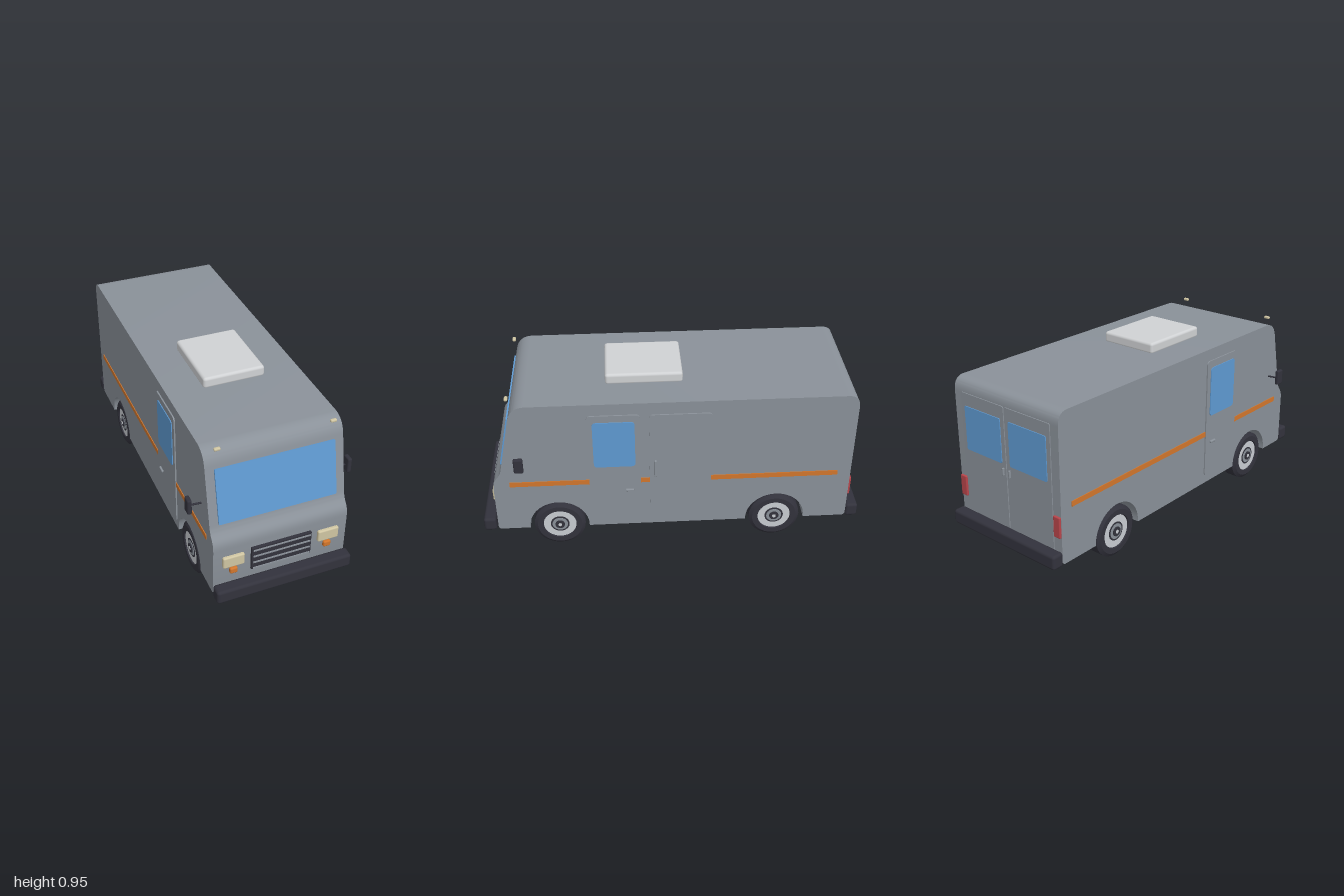
import * as THREE from 'three';
import { toCreasedNormals } from 'three/addons/utils/BufferGeometryUtils.js';
import { RoundedBoxGeometry } from 'three/addons/geometries/RoundedBoxGeometry.js';

const mat = (name, color) => {
  const m = new THREE.MeshStandardMaterial({ color });
  m.name = name;
  return m;
};

export function createModel() {
  const paint = mat('greyPaint', 0x8a9199);
  const dark = mat('darkRubber', 0x32323c);
  const glass = mat('blueGlass', 0x5f9ad2);
  const orange = mat('orange', 0xd2762c);
  const silver = mat('silver', 0xc9cdd2);
  const white = mat('ventWhite', 0xd0d2d4);
  const cream = mat('creamLens', 0xcfc5a2);
  const red = mat('redLens', 0xb8454b);

  const model = new THREE.Group();
  model.name = 'stepVan';

  const add = (name, geo, material, x = 0, y = 0, z = 0, parent = model) => {
    const m = new THREE.Mesh(geo, material);
    m.name = name;
    m.position.set(x, y, z);
    parent.add(m);
    return m;
  };
  const rbox = (w, h, d, r) => new RoundedBoxGeometry(w, h, d, 2, r);

  // Flat panel with rounded corners, back face on z = 0, facing +z
  const panel = (w, h, d, r) => {
    const s = new THREE.Shape(), a = w / 2, b = h / 2;
    s.moveTo(-a + r, -b);
    s.lineTo(a - r, -b).absarc(a - r, -b + r, r, -Math.PI / 2, 0);
    s.lineTo(a, b - r).absarc(a - r, b - r, r, 0, Math.PI / 2);
    s.lineTo(-a + r, b).absarc(-a + r, b - r, r, Math.PI / 2, Math.PI);
    s.lineTo(-a, -b + r).absarc(-a + r, -b + r, r, Math.PI, Math.PI * 1.5);
    return new THREE.ExtrudeGeometry(s, { depth: d, bevelEnabled: false, curveSegments: 5 });
  };

  // Body: side profile with wheel arches, extruded across the width
  const axles = [-0.55, 0.6];
  const p = new THREE.Shape();
  p.moveTo(-0.935, 0.14);
  p.lineTo(-0.923, 0.128);
  for (const z of axles) {
    p.lineTo(z - 0.157, 0.128);
    p.absarc(z, 0.137, 0.157, Math.PI, 0, true);
    p.lineTo(z + 0.157, 0.128);
  }
  p.lineTo(0.905, 0.128);
  p.quadraticCurveTo(0.925, 0.128, 0.925, 0.148);
  p.lineTo(0.925, 0.4);
  p.bezierCurveTo(0.925, 0.47, 0.89, 0.455, 0.876, 0.52);
  p.lineTo(0.814, 0.82);
  p.quadraticCurveTo(0.798, 0.9, 0.72, 0.9);
  p.lineTo(-0.875, 0.9);
  p.quadraticCurveTo(-0.935, 0.9, -0.935, 0.83);
  p.closePath();
  const body = new THREE.ExtrudeGeometry(p, { depth: 0.7, bevelEnabled: false, curveSegments: 16 });
  body.rotateY(-Math.PI / 2).translate(0.35, 0, 0);
  add('body', toCreasedNormals(body, 0.6), paint);

  // Windshield on the sloped nose
  const shield = add('windshield', panel(0.61, 0.292, 0.008, 0.006), glass, 0, 0.6625, 0.8465);
  shield.rotation.x = -Math.atan2(0.062, 0.3);

  // Roof vent
  add('roofVent', rbox(0.326, 0.06, 0.394, 0.015), white, 0, 0.922, 0.133);

  // Bumpers
  add('frontBumper', rbox(0.714, 0.076, 0.066, 0.015), dark, 0, 0.162, 0.967);
  add('rearBumper', rbox(0.714, 0.076, 0.066, 0.015), dark, 0, 0.162, -0.967);

  // Grille with slats
  add('grille', rbox(0.316, 0.138, 0.02, 0.004), dark, 0, 0.299, 0.928);
  for (const y of [0.352, 0.315, 0.277, 0.24])
    add('grilleSlat', new THREE.BoxGeometry(0.3, 0.008, 0.008), paint, 0, y, 0.938);

  // Paired details on the front, roof, sides and back
  for (const s of [-1, 1]) {
    add('headlight', rbox(0.111, 0.066, 0.03, 0.008), cream, s * 0.249, 0.32, 0.926);
    add('turnSignal', rbox(0.04, 0.034, 0.026, 0.008), orange, s * 0.248, 0.258, 0.927);
    add('clearanceLight', rbox(0.032, 0.015, 0.018, 0.006), cream, s * 0.29, 0.915, 0.815);

    const mirror = new THREE.Group();
    mirror.name = 'sideMirror';
    model.add(mirror);
    add('mirrorHead', rbox(0.023, 0.084, 0.048, 0.008), dark, s * 0.416, 0.594, 0.776, mirror);
    const arm = add('mirrorArm', new THREE.CylinderGeometry(0.005, 0.005, 0.07, 8), dark, s * 0.377, 0.586, 0.772, mirror);
    arm.rotation.z = Math.PI / 2 + s * 0.08;

    add('tailLight', rbox(0.042, 0.11, 0.02, 0.005), red, s * 0.327, 0.325, -0.936);

    // Rear door leaf with window and handle
    const leaf = new THREE.Group();
    leaf.name = 'rearDoor';
    leaf.position.set(s * 0.152, 0, -0.935);
    leaf.rotation.y = Math.PI;
    model.add(leaf);
    add('rearDoorPanel', panel(0.296, 0.69, 0.005, 0.008), paint, 0, 0.49, 0, leaf);
    add('rearWindow', panel(0.248, 0.23, 0.004, 0.008), glass, 0, 0.655, 0.005, leaf);
    add('rearHandle', rbox(0.01, 0.04, 0.014, 0.003), paint, s * 0.13, 0.498, 0.008, leaf);

    // Side fittings: local +z points outward, u converts a world z
    const side = new THREE.Group();
    side.name = s > 0 ? 'leftSide' : 'rightSide';
    side.position.x = s * 0.35;
    side.rotation.y = s * Math.PI / 2;
    model.add(side);
    const u = z => -s * z;
    add('cabDoor', panel(0.266, 0.662, 0.007, 0.02), paint, u(0.296), 0.505, 0, side);
    add('cabDoorWindow', panel(0.212, 0.274, 0.004, 0.018), glass, u(0.296), 0.66, 0.007, side);
    add('cabDoorHandle', rbox(0.044, 0.012, 0.014, 0.004), paint, u(0.222), 0.368, 0.01, side);
    const stripes = [[0.84, 0.429], [0.163, -0.865]];
    if (s > 0) {
      stripes[1] = [0.163, 0.117];
      stripes.push([-0.2, -0.865]);
      add('cargoDoor', panel(0.317, 0.662, 0.007, 0.02), paint, u(-0.041), 0.501, 0, side);
      add('cargoDoorHandle', rbox(0.014, 0.1, 0.014, 0.004), paint, u(0.088), 0.503, 0.01, side);
    }
    for (const [a, b] of stripes)
      add('stripe', new THREE.BoxGeometry(a - b, 0.028, 0.008), orange, u((a + b) / 2), 0.424, 0, side);
  }

  // Wheels: tyre, rim and hub, the same on both faces
  const lathe = pts => toCreasedNormals(
    new THREE.LatheGeometry(pts.map(q => new THREE.Vector2(...q)), 32).rotateZ(-Math.PI / 2), 0.5);
  const tyre = lathe([[0.086, -0.036], [0.09, -0.047], [0.118, -0.047], [0.136, -0.034],
    [0.136, 0.034], [0.118, 0.047], [0.09, 0.047], [0.086, 0.036]]);
  const disc = (r, w) => new THREE.CylinderGeometry(r, r, w, 32).rotateZ(Math.PI / 2);
  for (const z of axles) for (const s of [-1, 1]) {
    const wheel = new THREE.Group();
    wheel.name = 'wheel';
    wheel.position.set(s * 0.298, 0.137, z);
    model.add(wheel);
    add('tyre', tyre, dark, 0, 0, 0, wheel);
    add('rim', disc(0.088, 0.08), silver, 0, 0, 0, wheel);
    add('hubRing', disc(0.05, 0.084), dark, 0, 0, 0, wheel);
    add('hubPlate', disc(0.041, 0.088), paint, 0, 0, 0, wheel);
    add('hub', disc(0.025, 0.1), dark, 0, 0, 0, wheel);
    add('hubCap', disc(0.01, 0.104), silver, 0, 0, 0, wheel);
  }
  return model;
}
